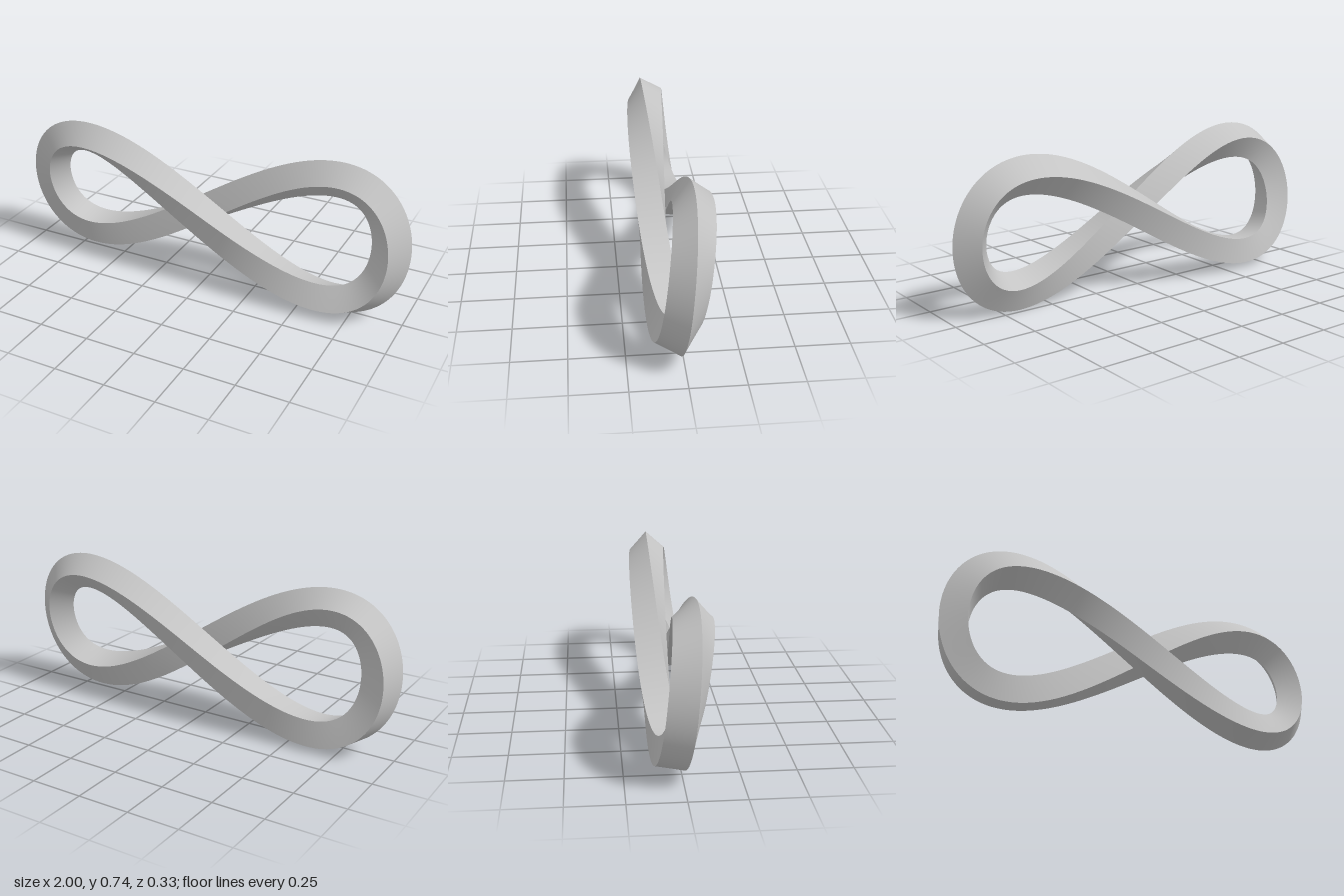
import * as THREE from 'three';

const STEPS = 320;
const HALF = 0.064; // half the side of the square bar

// Twist of the bar in degrees, every eighth of the way round; a full lap turns it by -180
const TWIST = [44, 37, 24, -12, -56, -72, -83.5, -109];
const twistKey = (i) => TWIST[((i % 8) + 8) % 8] - 180 * Math.floor(i / 8);

function twistAt(u) {
  const i = Math.floor(u * 8), f = u * 8 - i;
  const [a, b, c, d] = [-1, 0, 1, 2].map((k) => twistKey(i + k));
  const deg = b + 0.5 * f * (c - a + f * (2 * a - 5 * b + 4 * c - d + f * (3 * (b - c) + d - a)));
  return THREE.MathUtils.degToRad(deg);
}

// Four corners of the square section at u (0..1) along the figure-eight path
function section(u) {
  const t = Math.PI / 4 + u * Math.PI * 2;
  const centre = new THREE.Vector3(0.915 * Math.sin(t), 0.37 + 0.28 * Math.sin(2 * t), -0.08 * Math.cos(t));
  const tangent = new THREE.Vector3(0.915 * Math.cos(t), 0.56 * Math.cos(2 * t), 0.08 * Math.sin(t)).normalize();
  const right = tangent.clone().cross(new THREE.Vector3(0, 0, 1)).normalize();
  const up = right.clone().cross(tangent);
  const twist = twistAt(u);
  return [0, 1, 2, 3].map((k) => {
    const a = twist + Math.PI / 4 + (k * Math.PI) / 2;
    return centre.clone()
      .addScaledVector(up, HALF * Math.SQRT2 * Math.cos(a))
      .addScaledVector(right, HALF * Math.SQRT2 * Math.sin(a));
  });
}

// One long side of the bar, smooth along its length with sharp borders
function sideStrip(rings, k) {
  const positions = [], index = [];
  rings.forEach((ring, i) => {
    positions.push(...ring[(k + 3) % 4].toArray(), ...ring[k].toArray());
    if (i < STEPS) {
      const n = i * 2;
      index.push(n, n + 1, n + 3, n, n + 3, n + 2);
    }
  });
  const geometry = new THREE.BufferGeometry();
  geometry.setAttribute('position', new THREE.Float32BufferAttribute(positions, 3));
  geometry.setIndex(index);
  geometry.computeVertexNormals();
  return geometry;
}

export function createModel() {
  const model = new THREE.Group();
  model.name = 'twistedInfinityLoop';
  const grey = new THREE.MeshStandardMaterial({ color: 0xc4c4c4 });
  grey.name = 'light grey';

  const rings = Array.from({ length: STEPS + 1 }, (_, i) => section(i / STEPS));
  for (let k = 0; k < 4; k++) {
    const side = new THREE.Mesh(sideStrip(rings, k), grey);
    side.name = `barSide${k + 1}`;
    model.add(side);
  }
  return model;
}
